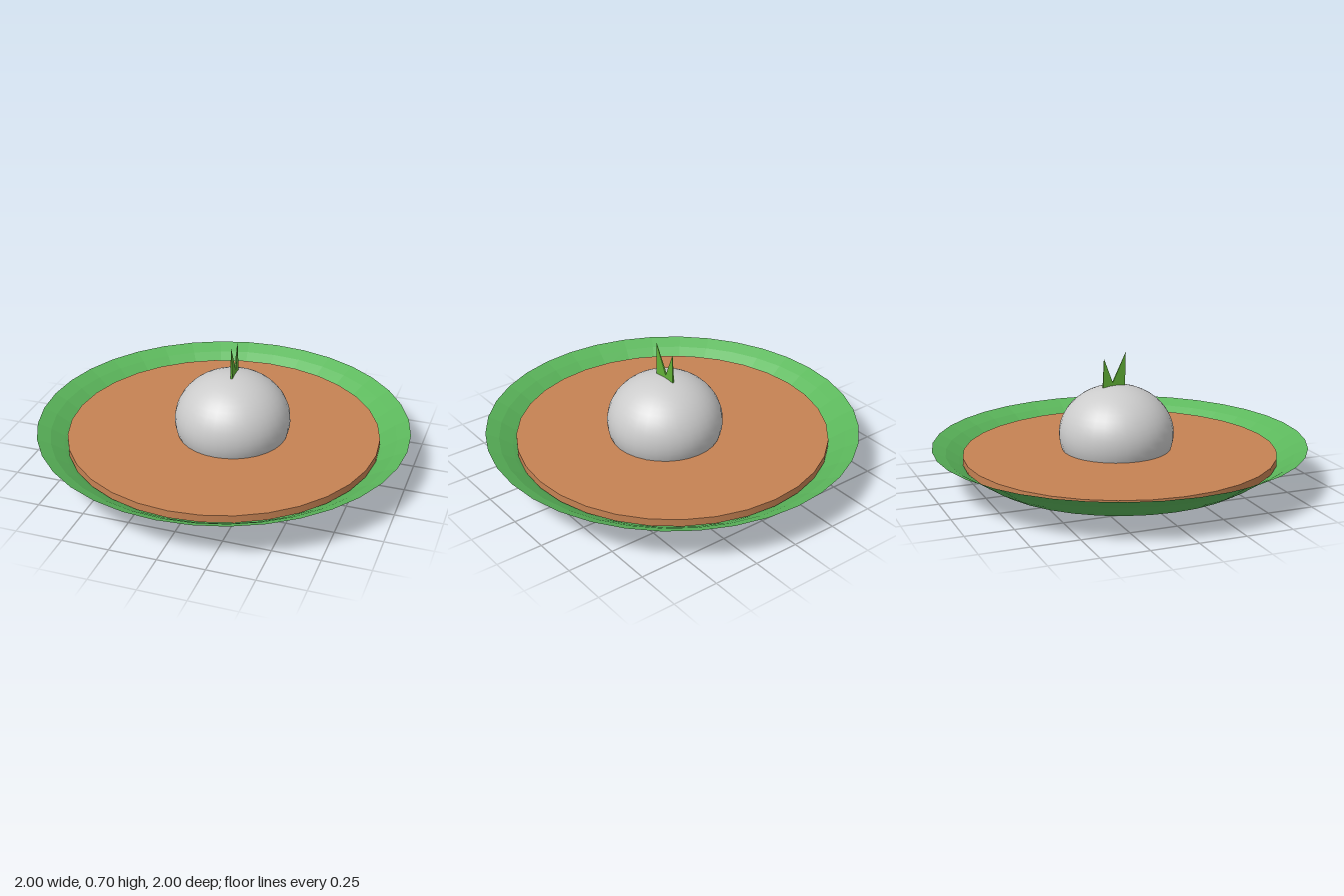
import * as THREE from 'three';

const CENTER_X = 0.05;

function addMesh(group, name, geometry, color, options = {}) {
  const mesh = new THREE.Mesh(geometry, new THREE.MeshStandardMaterial({ color, ...options }));
  mesh.name = name;
  group.add(mesh);
  return mesh;
}

// Thin pointed leaf blade: points are [z, y], laid in the z-y plane
function bladeGeometry(points, thickness) {
  const shape = new THREE.Shape(points.map(([z, y]) => new THREE.Vector2(-z, y)));
  const geometry = new THREE.ExtrudeGeometry(shape, { depth: thickness, bevelEnabled: false });
  geometry.translate(0, 0, -thickness / 2);
  geometry.rotateY(Math.PI / 2);
  // Taper the thickness to nothing at the tip
  const pos = geometry.attributes.position;
  for (let i = 0; i < pos.count; i++) {
    const t = THREE.MathUtils.clamp((pos.getY(i) - 0.48) / 0.2, 0, 0.9);
    pos.setX(i, pos.getX(i) * (1 - t));
  }
  geometry.computeVertexNormals();
  return geometry;
}

export function createModel() {
  const model = new THREE.Group();
  model.name = 'dumplingDish';

  // Shallow dish with a flared rim
  const profile = [
    [0, 0.04], [0.6, 0.042], [0.67, 0.047], [0.72, 0.06],
    [0.78, 0.095], [0.86, 0.15], [0.93, 0.195], [1, 0.228],
  ].map(([r, y]) => new THREE.Vector2(r, y));
  addMesh(model, 'dish', new THREE.LatheGeometry(profile, 36), 0x5cb85c,
    { side: THREE.DoubleSide, flatShading: true });

  // Disc of broth resting inside the dish
  const broth = addMesh(model, 'broth', new THREE.CylinderGeometry(0.84, 0.84, 0.04, 32), 0xc68253);
  broth.position.y = 0.16;

  // Flattened round dumpling, standing through the dish floor
  const dumpling = addMesh(model, 'dumpling', new THREE.SphereGeometry(0.31, 32, 24), 0xcccccc);
  dumpling.scale.y = 0.2625 / 0.31;
  dumpling.position.set(CENTER_X, 0.2625, 0);

  // Two-pointed sprig on top
  const sprig = new THREE.Group();
  sprig.name = 'sprig';
  sprig.position.x = CENTER_X + 0.006;
  sprig.rotation.y = 0.06;
  model.add(sprig);
  const blades = {
    frontLeaf: [[0.05, 0.49], [-0.025, 0.49], [-0.02, 0.54], [0.058, 0.7]],
    backLeaf: [[-0.008, 0.49], [-0.077, 0.49], [-0.07, 0.675], [-0.02, 0.54]],
  };
  for (const [name, points] of Object.entries(blades)) {
    addMesh(sprig, name, bladeGeometry(points, 0.014), 0x5fae35,
      { side: THREE.DoubleSide, flatShading: true });
  }
  return model;
}
